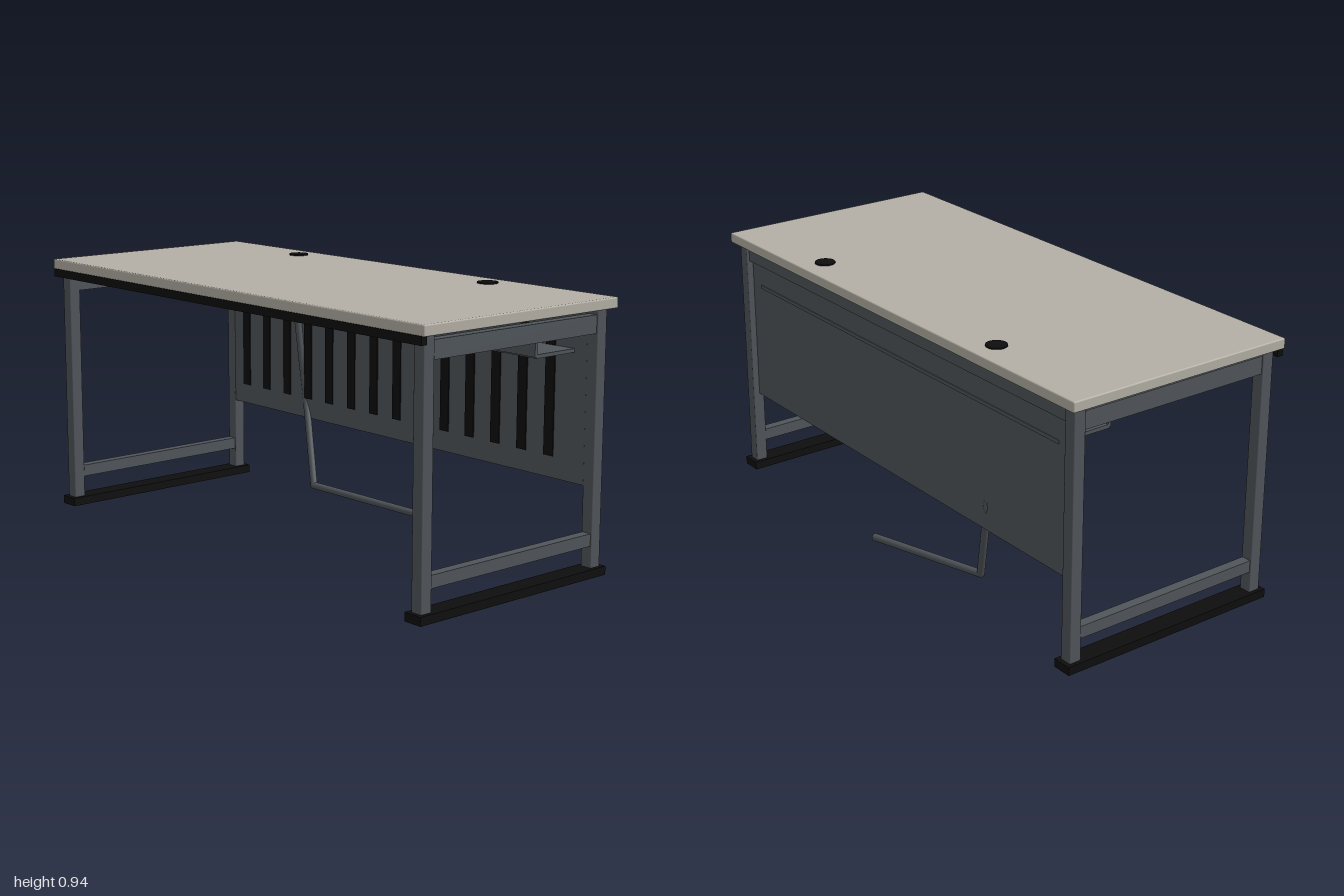
import * as THREE from 'three';
import { RoundedBoxGeometry } from 'three/addons/geometries/RoundedBoxGeometry.js';

const material = (name, color) => {
  const m = new THREE.MeshStandardMaterial({ color });
  m.name = name;
  return m;
};

export function createModel() {
  const desk = new THREE.Group();
  desk.name = 'desk';
  const laminate = material('greige laminate', 0xb3afa5);
  const steel = material('slate steel', 0x50555a);
  const black = material('black plastic', 0x0e0e0e);

  const add = (name, geometry, mat, parent = desk) => {
    const mesh = new THREE.Mesh(geometry, mat);
    mesh.name = name;
    parent.add(mesh);
    return mesh;
  };
  // Box given by its lower and upper limits on each axis
  const box = (name, mat, [x0, x1], [y0, y1], [z0, z1], parent = desk, radius = 0) => {
    const size = [x1 - x0, y1 - y0, z1 - z0];
    const geometry = radius ? new RoundedBoxGeometry(...size, 2, radius) : new THREE.BoxGeometry(...size);
    const mesh = add(name, geometry, mat, parent);
    mesh.position.set((x0 + x1) / 2, (y0 + y1) / 2, (z0 + z1) / 2);
    return mesh;
  };

  // Worktop with dark front edge strip and two cable grommets
  box('worktop', laminate, [-1, 1], [0.9, 0.937], [-0.435, 0.435], desk, 0.005);
  box('frontEdgeStrip', black, [-0.99, 0.99], [0.873, 0.902], [0.413, 0.437]);
  for (const x of [-0.5, 0.5]) {
    add('grommet', new THREE.CylinderGeometry(0.036, 0.036, 0.007, 32), black).position.set(x, 0.9385, -0.34);
  }

  // Side frames: foot bar, two legs and two rails
  for (const side of [-1, 1]) {
    const frame = new THREE.Group();
    frame.name = side > 0 ? 'leftFrame' : 'rightFrame';
    desk.add(frame);
    const c = side * 0.952;
    box('footBar', black, [c - 0.036, c + 0.036], [0, 0.03], [-0.425, 0.425], frame);
    for (const z of [-0.388, 0.388]) {
      box('leg', steel, [c - 0.0225, c + 0.0225], [0.028, 0.9], [z - 0.0225, z + 0.0225], frame, 0.004);
    }
    box('upperRail', steel, [c - 0.018, c + 0.018], [0.82, 0.882], [-0.37, 0.37], frame);
    box('lowerRail', steel, [c - 0.018, c + 0.018], [0.105, 0.148], [-0.37, 0.37], frame);
  }

  // Modesty panel, its rear beam and the dark vent slots on the inside
  box('modestyPanel', steel, [-0.935, 0.935], [0.305, 0.895], [-0.386, -0.368]);
  box('rearBeam', steel, [-0.935, 0.935], [0.84, 0.9], [-0.4, -0.38]);
  for (let i = 0; i < 14; i++) {
    const x = -0.853 + i * 0.125;
    box('ventSlot', black, [x - 0.021, x + 0.021], [0.38, 0.82], [-0.369, -0.364]);
  }

  // Cable tray
  box('trayFloor', steel, [-0.875, 0.875], [0.745, 0.758], [-0.389, -0.186]);
  box('trayLip', steel, [-0.875, 0.875], [0.75, 0.855], [-0.192, -0.18]);

  // Hanging power cable: straight runs with round joints
  const cable = new THREE.Group();
  cable.name = 'powerCable';
  desk.add(cable);
  const path = [
    [-0.5, 0.935, -0.34], [-0.517, 0.87, -0.342], [-0.527, 0.74, -0.35],
    [-0.502, 0.38, -0.378], [-0.378, 0.065, -0.312], [0.12, 0.03, -0.41],
  ].map((p) => new THREE.Vector3(...p));
  const r = 0.0135;
  const up = new THREE.Vector3(0, 1, 0);
  for (let i = 0; i < path.length - 1; i++) {
    const dir = path[i + 1].clone().sub(path[i]);
    const run = add('cableRun', new THREE.CylinderGeometry(r, r, dir.length(), 16), steel, cable);
    run.position.copy(path[i]).addScaledVector(dir, 0.5);
    run.quaternion.setFromUnitVectors(up, dir.normalize());
    if (i > 0) add('cableJoint', new THREE.SphereGeometry(r, 16, 12), steel, cable).position.copy(path[i]);
  }

  return desk;
}
